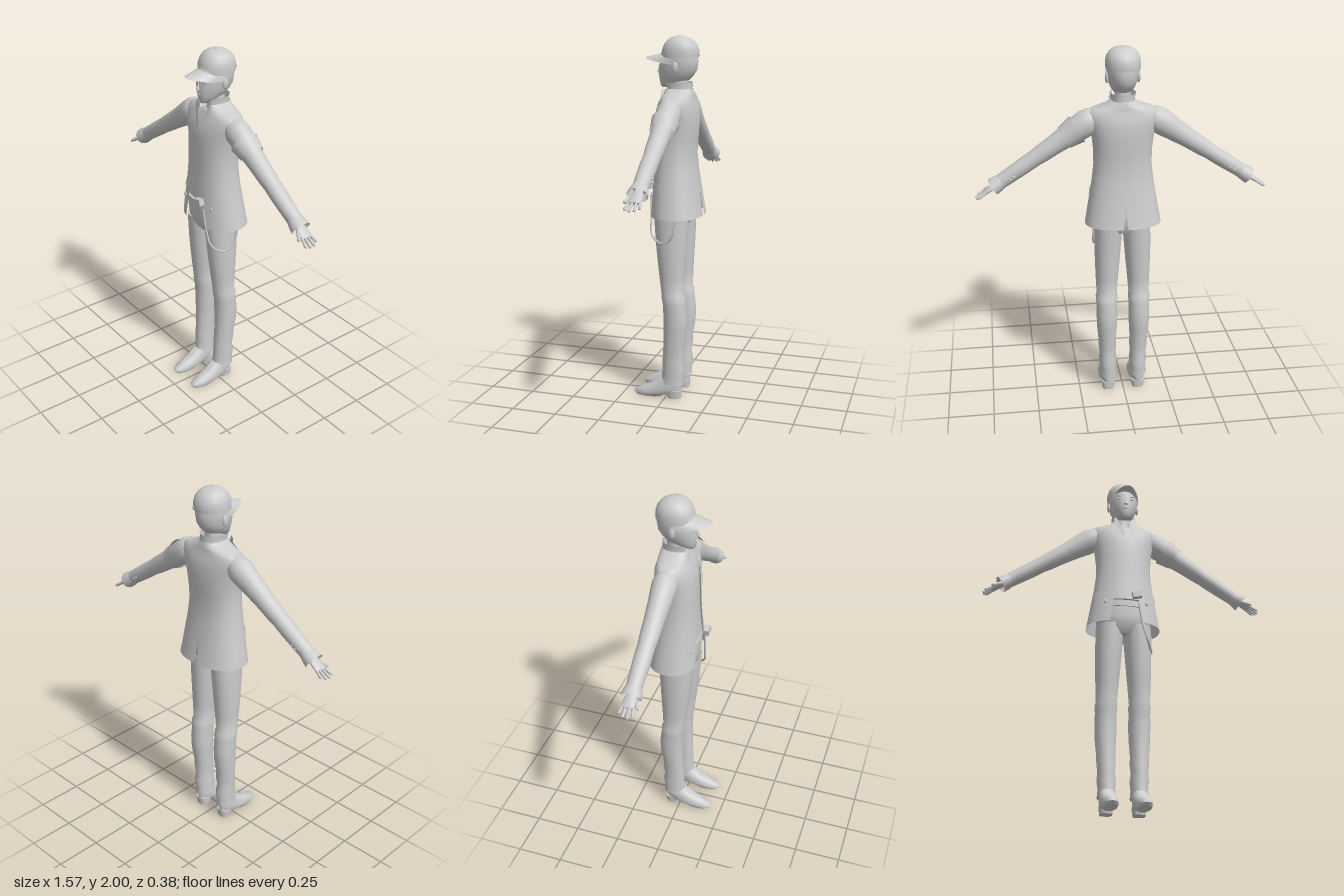
import * as THREE from 'three';
import { mergeGeometries, toCreasedNormals } from 'three/addons/utils/BufferGeometryUtils.js';

const grey = new THREE.MeshStandardMaterial({ color: 0xcccccc, side: THREE.DoubleSide });
grey.name = 'light grey';
const V = (x, y, z) => new THREE.Vector3(x, y, z);

// Point of a horizontal cross-section [y, half width, front z, back z, centre x]; t = 0 faces front
function ringPoint([y, a, zF, zB, cx = 0], t, n = 2, off = 0) {
  const p = (v) => Math.sign(v) * Math.abs(v) ** (2 / n);
  return V(cx + (a + off) * p(Math.sin(t)), y, (zF + zB) / 2 + ((zF - zB) / 2 + off) * p(Math.cos(t)));
}

// Cross-section at any height of a profile
function rowAt(rows, y) {
  let i = 0;
  while (i < rows.length - 2 && rows[i + 1][0] < y) i++;
  const k = (y - rows[i][0]) / (rows[i + 1][0] - rows[i][0]);
  return rows[i].map((v, j) => v + (rows[i + 1][j] - v) * k);
}

// Surface through rings of points
function grid(rings, capped = false) {
  const pos = [], idx = [], m = rings[0].length;
  rings.forEach((r) => r.forEach((p) => pos.push(p.x, p.y, p.z)));
  for (let i = 0; i < rings.length - 1; i++) for (let j = 0; j < m - 1; j++) {
    const a = i * m + j, b = a + 1, c = a + m, d = c + 1;
    idx.push(a, b, c, b, d, c);
  }
  if (capped) [0, rings.length - 1].forEach((i) => {
    const c = rings[i].reduce((s, p) => s.add(p), V(0, 0, 0)).divideScalar(m), k = pos.length / 3;
    pos.push(c.x, c.y, c.z);
    for (let j = 0; j < m - 1; j++) {
      const a = i * m + j;
      i ? idx.push(a, a + 1, k) : idx.push(a + 1, a, k);
    }
  });
  const g = new THREE.BufferGeometry();
  g.setAttribute('position', new THREE.Float32BufferAttribute(pos, 3));
  g.setIndex(idx);
  return g;
}

// Loft over part of each ring; t0 and t1 may depend on the height
function sector(rows, t0, t1, n = 2, off = 0, seg = 24) {
  return grid(rows.map((r) => Array.from({ length: seg + 1 }, (_, j) =>
    ringPoint(r, t0(r) + (t1(r) - t0(r)) * j / seg, n, off))));
}
function loft(rows, n = 2, capped = true, seg = 28) {
  return grid(rows.map((r) => Array.from({ length: seg + 1 }, (_, j) =>
    ringPoint(r, j % seg / seg * Math.PI * 2, n))), capped);
}

export function createModel() {
  const model = new THREE.Group();
  const add = (name, geo, parent = model) => {
    const mesh = new THREE.Mesh(geo, grey);
    mesh.name = name;
    parent.add(mesh);
    return mesh;
  };
  const smooth = (name, geo, parent) => add(name, toCreasedNormals(geo, 0.9), parent);
  const ball = (name, x, y, z, sx, sy, sz, parent) => {
    const b = add(name, new THREE.SphereGeometry(1, 16, 10), parent);
    b.position.set(x, y, z);
    b.scale.set(sx, sy, sz);
    return b;
  };

  // Head, neck and face
  smooth('head', loft([[1.727, 0.018, 0.048, 0.01], [1.74, 0.036, 0.056, -0.03], [1.765, 0.055, 0.061, -0.1],
    [1.79, 0.067, 0.064, -0.125], [1.82, 0.077, 0.064, -0.143], [1.86, 0.082, 0.06, -0.148],
    [1.91, 0.084, 0.05, -0.145], [1.95, 0.07, 0.02, -0.125]]));
  smooth('neck', loft([[1.62, 0.055, 0.02, -0.1], [1.69, 0.044, 0.0, -0.095], [1.79, 0.042, 0.005, -0.095]]));
  const nose = smooth('nose', new THREE.ConeGeometry(0.011, 0.045, 8));
  nose.position.set(0, 1.823, 0.065);
  nose.rotation.x = -0.12;
  ball('mouth', 0, 1.778, 0.061, 0.018, 0.004, 0.005);
  for (const s of [1, -1]) {
    ball('ear', 0.083 * s, 1.835, -0.045, 0.01, 0.03, 0.017);
    ball('eye', 0.034 * s, 1.846, 0.052, 0.016, 0.008, 0.005);
    ball('eyebrow', 0.036 * s, 1.864, 0.05, 0.02, 0.003, 0.004);
  }

  // Cap
  smooth('capCrown', loft([[1.882, 0.09, 0.047, -0.15], [1.92, 0.092, 0.046, -0.152], [1.95, 0.085, 0.035, -0.142],
    [1.972, 0.071, 0.018, -0.124], [1.987, 0.05, -0.002, -0.1], [1.995, 0.024, -0.026, -0.074]], 2.1));
  ball('capButton', 0, 1.995, -0.05, 0.01, 0.005, 0.01);
  const brim = (dy) => grid(Array.from({ length: 7 }, (_, i) => Array.from({ length: 15 }, (_, j) => {
    const u = j / 7 - 1, v = 1 - i / 6, back = -0.05 + 0.095 * Math.sqrt(Math.max(0, 1 - u * u));
    return V(u * 0.089, 1.905 - 0.022 * v - 0.03 * u * u + dy, back + (0.14 - 0.125 * u * u - back) * v * (1 - u ** 6));
  })));
  smooth('capBrim', mergeGeometries([brim(0), brim(-0.006)]));
  smooth('capStrap', sector([[1.888, 0.09, 0.047, -0.15], [1.9, 0.091, 0.047, -0.151]],
    () => 2.5, () => 3.78, 2.1, 0.004));

  // Jacket, in two halves with an open front and a back vent
  const body = [[1.04, 0.206, 0.094, -0.186], [1.08, 0.199, 0.092, -0.178], [1.18, 0.182, 0.086, -0.163],
    [1.28, 0.165, 0.079, -0.147], [1.37, 0.155, 0.074, -0.138], [1.45, 0.156, 0.073, -0.143],
    [1.53, 0.165, 0.069, -0.148], [1.59, 0.18, 0.062, -0.147], [1.635, 0.193, 0.05, -0.14],
    [1.665, 0.188, 0.036, -0.13], [1.682, 0.15, 0.03, -0.128], [1.7, 0.088, 0.032, -0.126], [1.72, 0.062, 0.03, -0.12]];
  const N = 2.3;
  const edges = [[1.04, 0.09], [1.18, 0.07], [1.3, 0.058], [1.45, 0.056], [1.6, 0.052], [1.72, 0.035]];
  const front = (r) => Math.asin(Math.min(1, rowAt(edges, r[0])[1] / r[1]) ** (N / 2));
  const vent = (r) => Math.max(0, 1.17 - r[0]) * 0.3;
  const T = Math.PI * 2;
  smooth('jacket', mergeGeometries([
    sector(body, front, (r) => Math.PI - vent(r), N),
    sector(body, (r) => Math.PI + vent(r), (r) => T - front(r), N)]));
  // Plate lying on one side of the jacket
  const patch = (name, ys, t0, t1, off, s) => {
    const rows = ys.map((y) => rowAt(body, y));
    smooth(name, s > 0 ? sector(rows, t0, t1, N, off, 6)
      : sector(rows, (r) => T - t1(r), (r) => T - t0(r), N, off, 6));
  };
  const widths = [[1.45, 0.02], [1.59, 0.4], [1.6, 0.25], [1.62, 0.42], [1.68, 0.3], [1.71, 0.25]];
  for (const s of [1, -1]) {
    patch('lapel', [1.45, 1.5, 1.55, 1.59, 1.6, 1.62, 1.65, 1.68, 1.71], front,
      (r) => front(r) + rowAt(widths, r[0])[1], 0.006, s);
    patch('pocketFlap', [1.19, 1.21, 1.23], () => 0.75, () => 1.4, 0.004, s);
    const p = ringPoint(rowAt(body, 1.16), 0.6 * s, N, 0.004);
    ball('jacketButton', p.x, p.y, p.z, 0.009, 0.014, 0.005);
  }
  patch('breastPocket', [1.53, 1.545], () => 0.58, () => 0.95, 0.004, 1);

  // Standing collar
  smooth('collar', sector([[1.685, 0.068, 0.036, -0.125], [1.72, 0.062, 0.032, -0.118], [1.755, 0.068, 0.04, -0.121]],
    (r) => 0.95 - (r[0] - 1.685) * 2, (r) => T - 0.95 + (r[0] - 1.685) * 2));

  // Shirt with a V neck, belt and buckle
  const shirt = body.filter((r) => r[0] > 1.17 && r[0] < 1.6)
    .map(([y, a, f, b]) => [y, a - 0.014, f - 0.008, b + 0.014]);
  smooth('shirt', loft([...shirt, [1.635, 0.13, 0.038, -0.125], [1.68, 0.06, 0.012, -0.112]], N));
  for (const s of [1, -1]) {
    const g = grid([0, 0.5, 1].map((k) => [0, 1].map((w) =>
      V(s * (0.004 + 0.046 * k + 0.016 * w), 1.6 + 0.13 * k - 0.014 * w, 0.066 - 0.036 * k))));
    smooth('shirtCollar', g);
  }
  smooth('belt', loft([[1.135, 0.155, 0.083, -0.13], [1.17, 0.153, 0.083, -0.13]], N));
  const buckle = add('buckle', new THREE.BoxGeometry(0.05, 0.035, 0.03));
  buckle.position.set(0.055, 1.195, 0.105);
  buckle.rotation.z = 0.2;

  // Trousers
  smooth('hips', loft([[0.985, 0.1, 0.045, -0.1], [1.02, 0.146, 0.068, -0.12], [1.08, 0.154, 0.076, -0.128],
    [1.15, 0.15, 0.076, -0.125]], 2.3));
  for (const s of [1, -1]) {
    smooth('trouserLeg', loft([[0.085, 0.049, 0.028, -0.1, 0.086], [0.13, 0.045, 0.024, -0.1, 0.086],
      [0.18, 0.05, 0.02, -0.104, 0.087], [0.22, 0.045, 0.02, -0.095, 0.088], [0.27, 0.05, 0.016, -0.102, 0.088],
      [0.32, 0.05, 0.014, -0.102, 0.09], [0.4, 0.056, 0.012, -0.116, 0.091], [0.48, 0.059, 0.013, -0.119, 0.091],
      [0.55, 0.058, 0.017, -0.11, 0.091], [0.59, 0.061, 0.024, -0.108, 0.091], [0.605, 0.056, 0.024, -0.099, 0.09],
      [0.7, 0.062, 0.036, -0.103, 0.088], [0.8, 0.068, 0.048, -0.109, 0.085], [0.9, 0.073, 0.058, -0.115, 0.082],
      [1.0, 0.076, 0.066, -0.12, 0.077], [1.04, 0.077, 0.068, -0.122, 0.076]].map((r) => [...r.slice(0, 4), r[4] * s]), 2.1));

    // Shoe with separate heel
    const shoe = new THREE.Group();
    shoe.name = 'shoe';
    shoe.position.x = 0.086 * s;
    model.add(shoe);
    smooth('upper', loft([[0, 0.034, 0.178, 0.03], [0.014, 0.042, 0.19, 0.005], [0.032, 0.045, 0.18, -0.085],
      [0.055, 0.045, 0.13, -0.088], [0.08, 0.043, 0.075, -0.088], [0.12, 0.04, 0.02, -0.085]]), shoe);
    smooth('heel', loft([[0, 0.033, -0.012, -0.084], [0.045, 0.038, -0.004, -0.088]], 3), shoe);

    // Arm, built downward from the shoulder and then swung out
    const arm = new THREE.Group();
    arm.name = s > 0 ? 'leftArm' : 'rightArm';
    arm.position.set(0.19 * s, 1.6, -0.045);
    arm.rotation.z = 0.986 * s;
    model.add(arm);
    const tube = (name, rows, capped = true) =>
      smooth(name, loft(rows.map(([d, a, b]) => [-d, a, b, -b]), 2, capped, 20), arm);
    tube('sleeve', [[0.55, 0.039, 0.04], [0.5, 0.041, 0.042], [0.4, 0.044, 0.046], [0.33, 0.044, 0.045], [0.29, 0.048, 0.049],
      [0.2, 0.052, 0.052], [0.1, 0.061, 0.058], [0.04, 0.069, 0.064], [0, 0.071, 0.067], [-0.04, 0.064, 0.06], [-0.07, 0.04, 0.04]]);
    tube('cuff', [[0.598, 0.046, 0.054], [0.57, 0.043, 0.049], [0.53, 0.037, 0.038]], false);
    for (const d of [0.47, 0.495]) ball('sleeveButton', -0.01 * s, -d, -0.042, 0.007, 0.007, 0.004, arm);
    if (s > 0) tube('armband', [[0.14, 0.062, 0.064], [0.1, 0.069, 0.069], [0.06, 0.078, 0.075]], false);

    // Hand
    tube('palm', [[0.655, 0.009, 0.03], [0.64, 0.012, 0.035], [0.61, 0.014, 0.033], [0.57, 0.016, 0.023], [0.53, 0.016, 0.02]]);
    const finger = (name, z, d, len, tilt, r) => {
      const f = add(name, new THREE.CapsuleGeometry(r, len, 4, 8), arm);
      f.position.set(0, -d - Math.cos(tilt) * len / 2, z + Math.sin(tilt) * len / 2);
      f.rotation.x = -tilt;
    };
    [[0.026, 0.055, 0.18], [0.009, 0.064, 0.05], [-0.009, 0.06, -0.07], [-0.026, 0.045, -0.22]]
      .forEach(([z, len, tilt]) => finger('finger', z, 0.64, len, tilt, 0.0075));
    finger('thumb', 0.022, 0.6, 0.055, 0.5, 0.0085);
  }

  // Hanging chain at the left hip
  const path = new THREE.CatmullRomCurve3([V(0.07, 1.15, 0.088), V(0.09, 1.03, 0.083), V(0.12, 0.94, 0.07),
    V(0.15, 0.9, 0.01), V(0.162, 0.93, -0.045), V(0.162, 1.02, -0.072), V(0.155, 1.12, -0.075)]);
  add('hipChain', new THREE.TubeGeometry(path, 48, 0.006, 6));
  return model;
}
